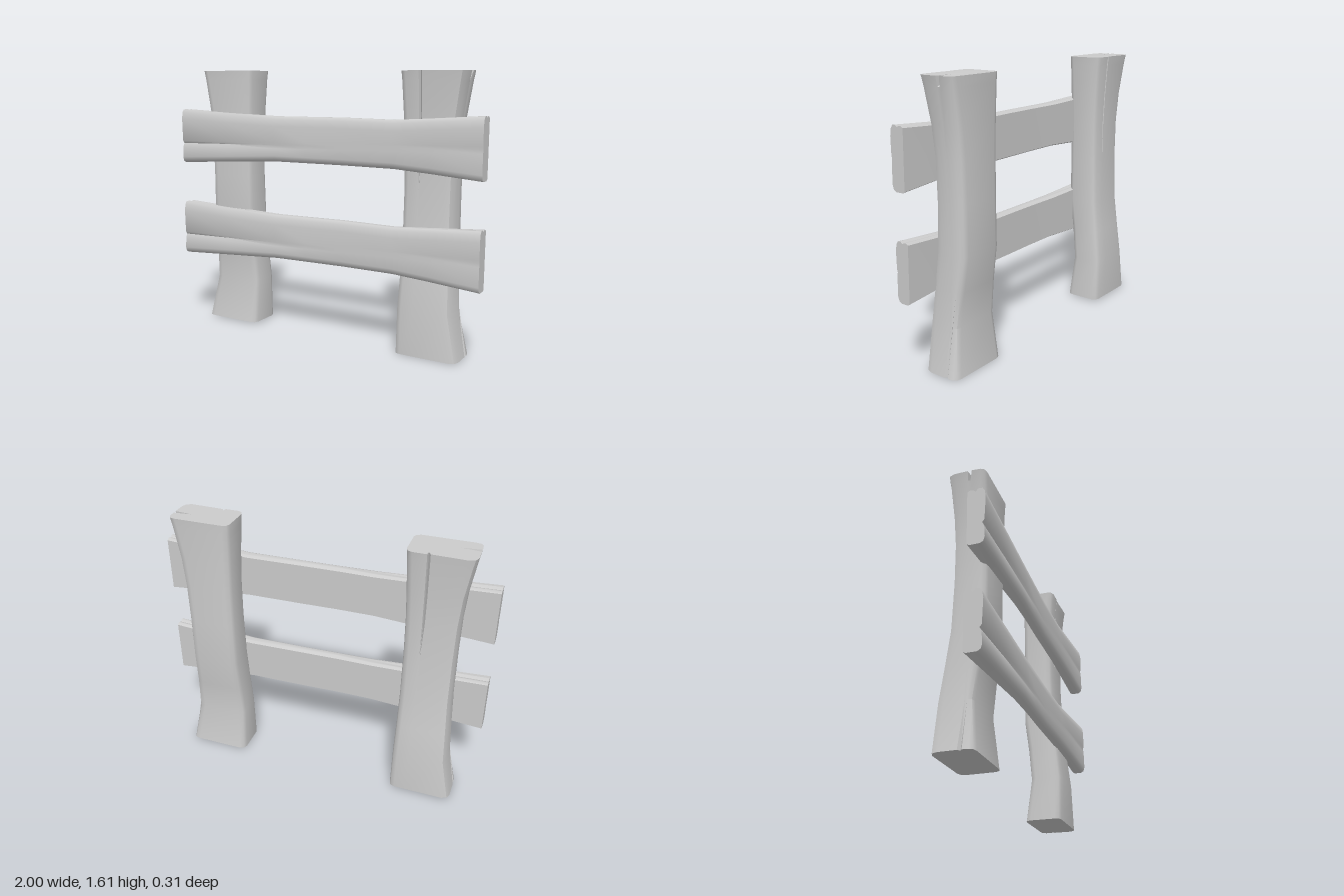
import * as THREE from 'three';
import { toCreasedNormals } from 'three/addons/utils/BufferGeometryUtils.js';

// Skin a row of counter-clockwise sections [a, b]; place(a, b, c) puts them in space (a x b = c).
function loft(sections, place) {
  const n = sections[0].pts.length, pos = [], index = [];
  for (const s of sections) for (const [a, b] of s.pts) pos.push(...place(a, b, s.c));
  for (let i = 0; i < sections.length - 1; i++) {
    for (let j = 0; j < n; j++) {
      const p = i * n + j, q = i * n + (j + 1) % n;
      index.push(p, q, q + n, p, q + n, p + n);
    }
  }
  // End caps
  for (const end of [0, sections.length - 1]) {
    const outline = sections[end].pts.map(([a, b]) => new THREE.Vector2(a, b));
    for (const [a, b, c] of THREE.ShapeUtils.triangulateShape(outline, [])) {
      const o = end * n;
      if (end) index.push(o + a, o + b, o + c);
      else index.push(o + a, o + c, o + b);
    }
  }
  const g = new THREE.BufferGeometry();
  g.setAttribute('position', new THREE.Float32BufferAttribute(pos, 3));
  g.setIndex(index);
  return toCreasedNormals(g, 0.85);
}

// Post: y, inner x, outer x, back z, front z, front crack depth, side crack depth
const POST = [
  [0.00, 0.49, 0.868, -0.135, 0.09, 0, 0.016],
  [0.27, 0.497, 0.82, -0.10, 0.092, 0, 0],
  [0.47, 0.502, 0.81, -0.12, 0.07, 0, 0],
  [0.67, 0.505, 0.80, -0.147, 0.05, 0, 0],
  [0.95, 0.507, 0.80, -0.147, 0.042, 0, 0],
  [1.18, 0.505, 0.805, -0.147, 0.042, 0.018, 0],
  [1.36, 0.50, 0.82, -0.147, 0.05, 0.022, 0],
  [1.55, 0.493, 0.851, -0.15, 0.064, 0.024, 0.004],
  [1.605, 0.49, 0.862, -0.152, 0.07, 0.025, 0.11],
];

function postSection([y, x0, x1, z0, z1, crack, split]) {
  const k = 0.035;
  const w = 0.002 + crack * 0.5;
  const cx = 0.608, cz = -0.065;
  return {
    c: y,
    pts: [
      [z0 + k, x0], [z1 - k, x0], [z1 - 0.01, x0 + 0.01], [z1, x0 + k],
      [z1, cx - 0.003], [z1 - crack, cx], [z1 - crack * 0.2, cx + w],
      [z1, x1 - k - 0.01], [z1 - 0.012, x1 - 0.012], [z1 - k - 0.01, x1],
      [cz + 0.012, x1], [cz, x1 - split], [cz - 0.012, x1],
      [z0 + 0.025, x1 - 0.004], [z0 + 0.006, x1 - 0.016], [z0, x1 - k - 0.01],
      [z0, x0 + k], [z0 + 0.01, x0 + 0.01],
    ],
  };
}

// Rail: x, bottom y, top y, back z, front z, front groove depth, top groove depth
const RAIL = [
  [-1.00, -0.173, 0.168, 0.05, 0.153, 0.016, 0.018],
  [-0.65, -0.153, 0.151, 0.055, 0.147, 0.013, 0.010],
  [-0.30, -0.134, 0.138, 0.06, 0.138, 0.008, 0.002],
  [-0.08, -0.134, 0.138, 0.06, 0.130, 0, 0],
  [0.15, -0.134, 0.139, 0.053, 0.122, 0, 0],
  [0.48, -0.136, 0.135, 0.05, 0.123, 0, 0.002],
  [0.70, -0.150, 0.148, 0.047, 0.127, 0.002, 0.006],
  [1.00, -0.173, 0.168, 0.043, 0.132, 0.006, 0.010],
];

function railSection([x, y0, y1, z0, z1, groove, notch]) {
  const g = -0.045 + 0.022 * (x + 1);
  const zm = z0 + (z1 - z0) * 0.45;
  return {
    c: x,
    pts: [
      [y1 - 0.012, z0], [y1 - 0.002, z0 + 0.016],
      [y1 - notch * 0.4, zm - 0.012], [y1 - notch, zm], [y1, zm + 0.014],
      [y1 - 0.002, z1 - 0.018], [y1 - 0.02, z1 - 0.006], [y1 - 0.06, z1],
      [g + 0.012, z1 - groove * 0.25], [g - 0.004, z1 - groove], [g - 0.025, z1 - groove * 0.3],
      [y0 + 0.035, z1], [y0 + 0.01, z1 - 0.008], [y0, z1 - 0.025],
      [y0, z0 + 0.02], [y0 + 0.008, z0 + 0.006],
    ],
  };
}

export function createModel() {
  const group = new THREE.Group();
  const wood = new THREE.MeshStandardMaterial({ color: 0xcccccc });
  const add = (name, geometry) => {
    const mesh = new THREE.Mesh(geometry, wood);
    mesh.name = name;
    group.add(mesh);
    return mesh;
  };

  // Posts: the second is the first turned half way round
  const post = loft(POST.map(postSection), (a, b, c) => [b, c, a]);
  add('leftPost', post);
  const other = add('rightPost', post);
  other.rotation.y = Math.PI;
  other.position.set(-0.014, 0.007, -0.06);

  // Two identical rails across the front
  const rail = loft(RAIL.map(railSection), (a, b, c) => [c, a, b]);
  add('upperRail', rail).position.y = 1.203;
  add('lowerRail', rail).position.y = 0.605;
  return group;
}
